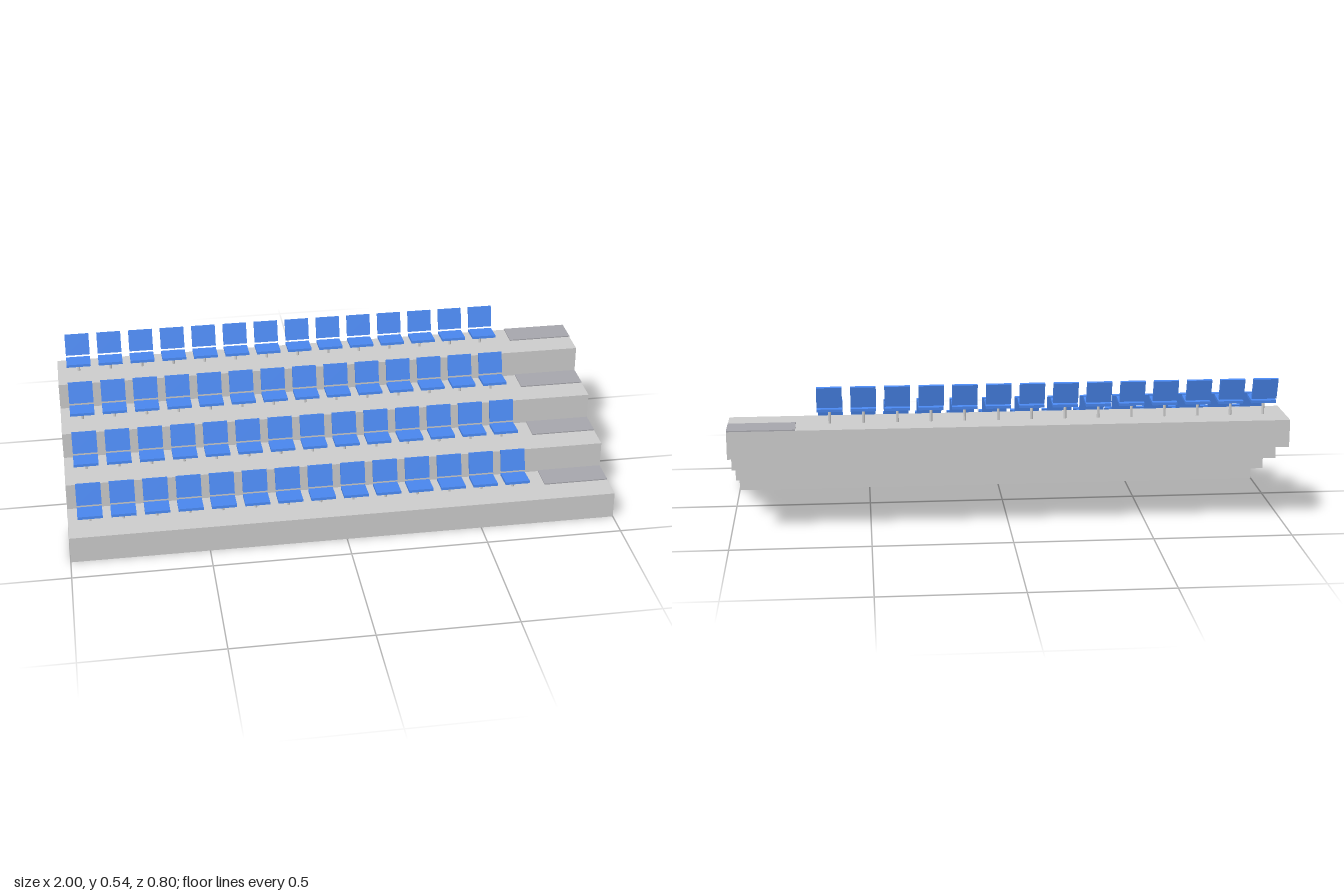
import * as THREE from 'three';

const ROWS = 4, SEATS = 14;
const RISE = 0.1, DEPTH = 0.2, PITCH = 0.12;

const grey = new THREE.MeshStandardMaterial({ color: 0xcccccc, flatShading: true });
const darkGrey = new THREE.MeshStandardMaterial({ color: 0xa6a6ac, flatShading: true });
const blue = new THREE.MeshStandardMaterial({ color: 0x4a88f0, flatShading: true });

// Shared geometries
const stepGeo = new THREE.BoxGeometry(2, RISE, DEPTH);
const padGeo = new THREE.BoxGeometry(0.24, 0.004, 0.1);
const postGeo = new THREE.CylinderGeometry(0.005, 0.005, 0.042, 8);
const cushionGeo = new THREE.BoxGeometry(0.09, 0.01, 0.08);
const backGeo = new THREE.BoxGeometry(0.09, 0.08, 0.01);

function part(parent, name, geometry, material, x, y, z, tilt = 0) {
  const mesh = new THREE.Mesh(geometry, material);
  mesh.name = name;
  mesh.position.set(x, y, z);
  mesh.rotation.x = tilt;
  parent.add(mesh);
}

// One chair; origin on the tread at the middle of its step
function makeChair() {
  const chair = new THREE.Group();
  chair.name = 'chair';
  part(chair, 'post', postGeo, grey, 0, 0.021, -0.01);
  part(chair, 'seat', cushionGeo, blue, 0, 0.0515, 0.02, -0.087);
  part(chair, 'backrest', backGeo, blue, 0, 0.1, -0.03, -0.26);
  return chair;
}

export function createModel() {
  const model = new THREE.Group();
  model.name = 'grandstand';

  for (let r = 0; r < ROWS; r++) {
    const row = new THREE.Group();
    row.name = 'row';
    row.position.set(0, (r + 1) * RISE, 0.3 - r * DEPTH);

    // Tier block and the low aisle step at its left end
    part(row, 'tier', stepGeo, grey, 0, -RISE / 2, 0);
    part(row, 'aisleStep', padGeo, darkGrey, 0.88, 0.002, -0.05);

    for (let s = 0; s < SEATS; s++) {
      const chair = makeChair();
      chair.position.x = -0.92 + s * PITCH;
      row.add(chair);
    }
    model.add(row);
  }
  return model;
}
